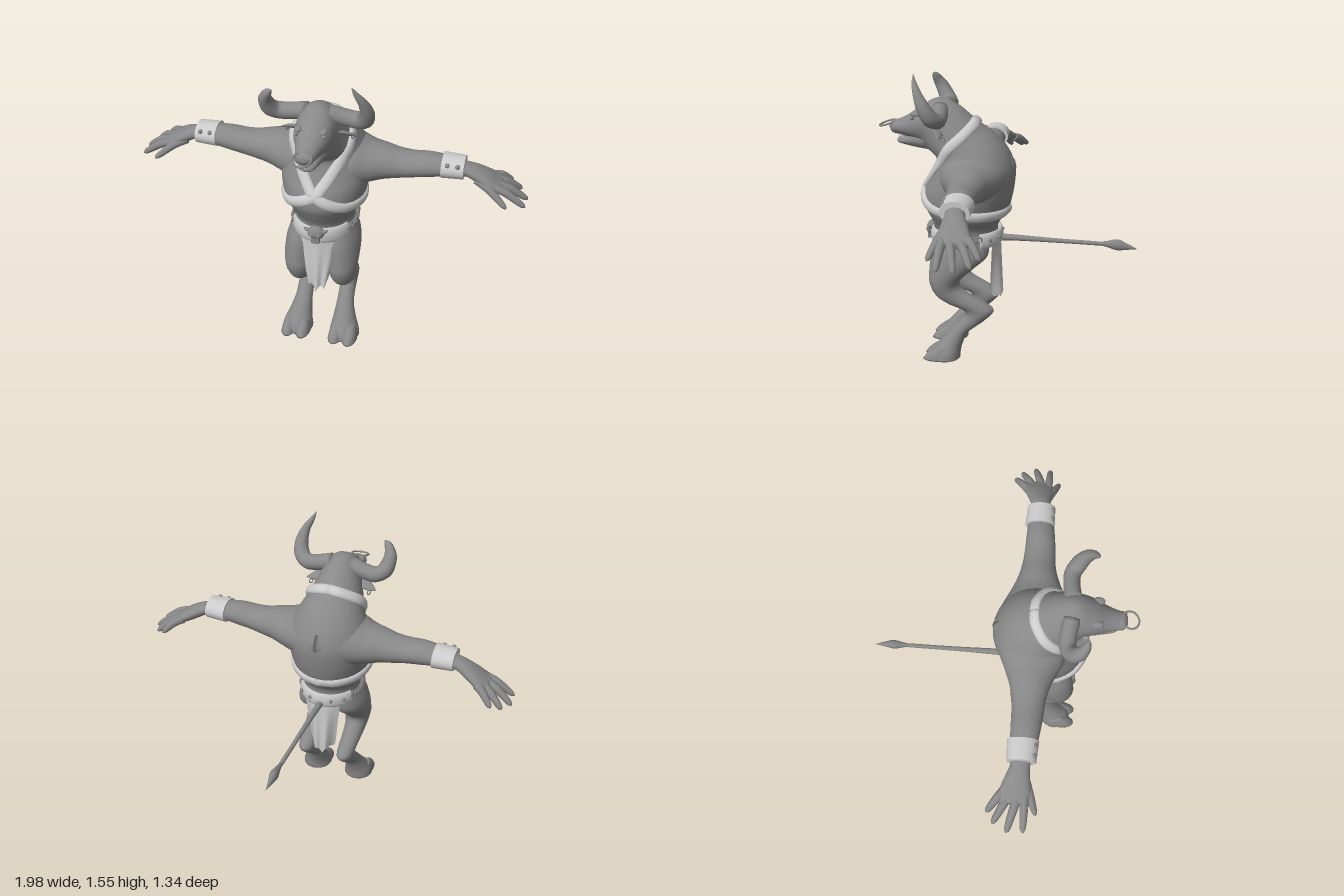
import * as THREE from 'three';

const V3 = (x, y, z) => new THREE.Vector3(x, y, z);
const hide = new THREE.MeshStandardMaterial({ color: 0x888888 });
const leather = new THREE.MeshStandardMaterial({ color: 0xcccccc });
const clothMat = new THREE.MeshStandardMaterial({ color: 0xcccccc, side: THREE.DoubleSide });

// Smooth capped skin through elliptical rings [centre, half axis U, half axis V]
function loft(rings, sides = 24, sub = 5) {
  const curves = [0, 1, 2].map(k => new THREE.CatmullRomCurve3(rings.map(r => r[k]), false, 'catmullrom', 0.5));
  const rows = (rings.length - 1) * sub, pos = [], idx = [];
  for (let i = 0; i <= rows; i++) {
    const [c, u, v] = curves.map(k => k.getPoint(i / rows));
    for (let j = 0; j < sides; j++) {
      const a = j / sides * Math.PI * 2;
      pos.push(...c.clone().addScaledVector(u, Math.cos(a)).addScaledVector(v, Math.sin(a)).toArray());
    }
  }
  const at = (i, j) => i * sides + j % sides, end = pos.length / 3;
  pos.push(...rings[0][0].toArray(), ...rings[rings.length - 1][0].toArray());
  for (let j = 0; j < sides; j++) {
    for (let i = 0; i < rows; i++) {
      idx.push(at(i, j), at(i, j + 1), at(i + 1, j), at(i, j + 1), at(i + 1, j + 1), at(i + 1, j));
    }
    idx.push(end, at(0, j + 1), at(0, j), end + 1, at(rows, j), at(rows, j + 1));
  }
  // Turn the faces outward whatever the direction of the rings
  let vol = 0;
  const p = k => V3(pos[k * 3], pos[k * 3 + 1], pos[k * 3 + 2]);
  for (let t = 0; t < idx.length; t += 3) vol += p(idx[t]).dot(p(idx[t + 1]).cross(p(idx[t + 2])));
  if (vol < 0) idx.reverse();
  const g = new THREE.BufferGeometry();
  g.setAttribute('position', new THREE.Float32BufferAttribute(pos, 3));
  g.setIndex(idx);
  g.computeVertexNormals();
  return g;
}

// Rings given by front and back edges: [x, half width, frontY, frontZ, backY, backZ]
const sagittal = (list, s = 1) => list.map(([x, w, fy, fz, by, bz]) =>
  [V3(x * s, (fy + by) / 2, (fz + bz) / 2), V3(w, 0, 0), V3(0, (fy - by) / 2, (fz - bz) / 2)]);

// Tapered limb through points [x, y, z, radius]
function taper(pts, s = 1, sides = 10) {
  const curve = new THREE.CatmullRomCurve3(pts.map(p => V3(p[0] * s, p[1], p[2])), false, 'catmullrom', 0.5);
  const n = pts.length - 1;
  let side = null;
  return loft(pts.map((p, i) => {
    const t = curve.getTangent(i / n);
    side = side || V3(0.3, 0.2, 1).cross(t);
    side = side.clone().addScaledVector(t, -side.dot(t)).normalize();
    return [curve.getPoint(i / n), side.clone().multiplyScalar(p[3]), t.clone().cross(side).multiplyScalar(p[3])];
  }), sides, 4);
}

// Flat strap through points [position, surface normal]
const ribbon = (pts, half, thick) => loft(pts.map(([c, n], i) => {
  const t = pts[Math.min(i + 1, pts.length - 1)][0].clone().sub(pts[Math.max(i - 1, 0)][0]);
  return [c, t.cross(n).normalize().multiplyScalar(half), n.clone().multiplyScalar(thick)];
}), 12, 4);

export function createModel() {
  const model = new THREE.Group();
  const add = (name, geo, x = 0, y = 0, z = 0, m = hide) => {
    const mesh = new THREE.Mesh(geo, m);
    mesh.name = name;
    mesh.position.set(x, y, z);
    model.add(mesh);
    return mesh;
  };
  const ball = (name, r, x, y, z, sx = 1, sy = 1, sz = 1) =>
    add(name, new THREE.SphereGeometry(r, 14, 10), x, y, z).scale.set(sx, sy, sz);

  // Trunk, neck and skull in one skin
  const body = add('body', loft(sagittal([
    [0, .11, .55, .35, .57, .14], [0, .15, .65, .385, .65, .07], [0, .15, .72, .39, .73, .06],
    [0, .185, .79, .425, .79, .02], [0, .205, .85, .45, .85, -.005], [0, .22, .92, .44, .94, -.025],
    [0, .225, .98, .41, 1.03, -.03], [0, .205, 1.04, .385, 1.12, 0], [0, .17, 1.085, .375, 1.2, .06],
    [0, .142, 1.11, .395, 1.275, .16], [0, .112, 1.13, .425, 1.365, .27], [0, .095, 1.155, .45, 1.395, .36],
    [0, .084, 1.175, .475, 1.355, .445], [0, .062, 1.19, .53, 1.305, .515], [0, .05, 1.2, .57, 1.277, .57],
    [0, .045, 1.208, .6, 1.27, .598], [0, .02, 1.23, .617, 1.255, .614]]), 32));

  // Jaw, teeth, nose ring
  add('lowerJaw', loft(sagittal([[0, .07, 1.125, .42, 1.23, .42], [0, .055, 1.135, .49, 1.215, .49],
    [0, .042, 1.147, .545, 1.19, .54], [0, .03, 1.155, .572, 1.182, .568], [0, .01, 1.163, .582, 1.176, .578]]), 16));
  for (let i = -3; i <= 3; i++) {
    const z = .585 - Math.abs(i) * .014, x = i * .011;
    add('upperTooth', new THREE.ConeGeometry(.006, .02, 6), x, 1.202, z + .004, leather).rotation.x = Math.PI;
    add('lowerTooth', new THREE.ConeGeometry(.006, .02, 6), x, 1.187, z - .014, leather);
  }
  const noseRing = add('noseRing', new THREE.TorusGeometry(.044, .005, 8, 28), 0, 1.255, .628);
  noseRing.rotation.x = Math.PI / 2 + .3;

  // Horns: the left one whole, the right one broken off
  const horn = [[.05, 1.345, .345, .043], [.12, 1.33, .335, .041], [.185, 1.322, .335, .041], [.228, 1.345, .36, .041],
    [.242, 1.4, .39, .034], [.228, 1.465, .42, .022], [.2, 1.515, .44, .012], [.182, 1.553, .447, .001]];
  add('leftHorn', taper(horn, 1, 16));
  add('rightHorn', taper([...horn.slice(0, 5), [.232, 1.435, .41, .026], [.216, 1.46, .42, .018], [.2, 1.475, .425, .003]], -1, 16));

  // Straps laid on the surface of the trunk
  const ray = new THREE.Raycaster();
  const onBody = ([x, y, z]) => {
    const axis = V3(0, y, y > 1.1 ? .28 : .2), dir = V3(x, y, z).sub(axis).normalize();
    ray.set(axis.addScaledVector(dir, 2), dir.clone().negate());
    const hit = ray.intersectObject(body)[0];
    return hit ? [hit.point, hit.face.normal.clone()] : [V3(x, y, z), dir];
  };
  const strapPath = [[0, 1.282, .16], [.06, 1.27, .18], [.12, 1.225, .23], [.15, 1.165, .29], [.13, 1.1, .35],
    [.085, 1.03, .4], [.04, .97, .43], [0, .925, .45], [-.07, .885, .44], [-.14, .85, .38], [-.19, .835, .29],
    [-.2, .828, .2], [-.18, .822, .1], [-.1, .817, .02], [0, .815, -.01]];

  for (const s of [1, -1]) {
    const side = s > 0 ? 'left' : 'right';
    add(side + 'ChestStrap', ribbon(strapPath.map(([x, y, z]) => onBody([x * s, y, z])), .029, .018), 0, 0, 0, leather);

    // Face details
    ball(side + 'Eye', .011, .066 * s, 1.3, .487);
    ball(side + 'Brow', .024, .06 * s, 1.318, .468, .8, .45, 1.3);
    ball(side + 'Nostril', .014, .03 * s, 1.25, .598, 1, .8, .9);
    add(side + 'Ear', loft([[.085, 1.25, .35, .02], [.12, 1.25, .345, .032], [.155, 1.243, .34, .026], [.192, 1.23, .33, .003]]
      .map(([x, y, z, w]) => [V3(x * s, y, z), V3(0, w * .55, w * .8), V3(0, w * .25, -w * .18)]), 12));
    add(side + 'Earring', new THREE.TorusGeometry(.013, .003, 6, 16), .16 * s, 1.222, .315).rotation.y = 1.2;

    // Shoulder, arm and palm: [x, top, bottom, z back, z front]
    const arm = [[0, 1.17, .92, -.035, .33], [.08, 1.16, .9, -.012, .34], [.155, 1.138, .895, .018, .335],
      [.22, 1.115, .908, .047, .305], [.29, 1.105, .928, .073, .275], [.36, 1.09, .942, .088, .258],
      [.43, 1.085, .957, .095, .252], [.5, 1.09, .967, .097, .245], [.57, 1.083, .98, .1, .235], [.64, 1.07, .99, .105, .22],
      [.69, 1.057, .99, .11, .206], [.74, 1.042, .965, .092, .21], [.8, 1.01, .938, .068, .218],
      [.84, .982, .928, .058, .213], [.865, .965, .933, .075, .195]];
    add(side + 'Arm', loft(arm.map(([x, t, b, z0, z1]) =>
      [V3(x * s, (t + b) / 2, (z0 + z1) / 2), V3(0, 0, (z1 - z0) / 2), V3(0, (t - b) / 2, 0)])));

    // Fingers and thumb: base and tip
    [[.82, .96, .19, .985, .872, .195], [.84, .955, .155, .99, .868, .115],
      [.83, .957, .115, .955, .88, .045], [.81, .965, .085, .905, .9, .012],
      [.74, .985, .185, .9, .885, .25]].forEach(([x, y, z, tx, ty, tz], i) => {
      const mix = (k, lift, r) => [x + (tx - x) * k, y + (ty - y) * k + lift, z + (tz - z) * k, r];
      add(side + (i < 4 ? 'Finger' : 'Thumb'), taper([mix(0, 0, .022), mix(.35, .012, .021), mix(.6, .01, .019),
        mix(.9, .002, .014), mix(1, 0, .003)], s, 8));
    });

    // Wrist cuff with two studs in front
    const cuff = add(side + 'Cuff', new THREE.CylinderGeometry(.062, .068, .108, 28), .625 * s, 1.033, .163, leather);
    cuff.rotation.z = -Math.PI / 2 * s;
    cuff.scale.set(.88, 1, 1.14);
    for (const x of [.6, .65]) ball(side + 'CuffStud', .012, x * s, 1.065, .222);

    // Bent hind leg and cloven hoof
    add(side + 'Leg', loft(sagittal([
      [.08, .07, .69, .36, .69, .1], [.1, .086, .6, .395, .59, .1], [.11, .084, .5, .41, .525, .165],
      [.113, .075, .43, .41, .46, .235], [.114, .062, .355, .375, .42, .25], [.114, .054, .31, .31, .38, .215],
      [.113, .048, .28, .235, .325, .12], [.112, .046, .25, .225, .28, .07], [.112, .043, .21, .255, .22, .12],
      [.113, .045, .15, .31, .15, .205], [.12, .06, .085, .365, .08, .238], [.126, .073, .04, .405, .04, .247],
      [.127, .08, .003, .418, .003, .25]], s), 20));
    for (const x of [.089, .166]) {
      add(side + 'HoofToe', loft(sagittal([[x, .022, .075, .365, .06, .3], [x, .033, .035, .42, .035, .3],
        [x, .039, .002, .445, .002, .3]], s), 16));
    }

    // Chain joining the front and back belt plates
    for (let i = 0; i < 8; i++) {
      const a = -.55 + i / 7 * 1.05;
      const link = add(side + 'ChainLink', new THREE.TorusGeometry(.015, .005, 6, 14), .165 * Math.cos(a) * s, .69 - .008 * Math.sin(i / 7 * Math.PI), .225 - .18 * Math.sin(a));
      link.rotation.set(i % 2 ? Math.PI / 2 : 0, Math.PI / 2 - a * s * .5, 0);
      link.scale.set(1.1, .9, 1);
    }
  }

  // Belt plates as arcs around the waist; angle 0 faces the front
  const plate = (name, from, to, y, half) => add(name, ribbon(Array.from({ length: 9 }, (_, i) => {
    const a = from + (to - from) * i / 8;
    return [V3(.158 * Math.sin(a), y, .225 + .178 * Math.cos(a)), V3(Math.sin(a), 0, Math.cos(a))];
  }), half, .014), 0, 0, 0, leather);
  plate('frontBelt', -1.05, 1.05, .673, .046);
  plate('backBelt', Math.PI - 1.05, Math.PI + 1.05, .675, .042);
  for (const a of [-.75, -.35, .35, .75])
    ball('beltStud', .01, .172 * Math.sin(a), .68, .225 - .191 * Math.cos(a));

  // Skull buckle
  ball('buckleSkull', .042, 0, .695, .412, 1.05, .9, .65);
  add('buckleJaw', new THREE.BoxGeometry(.04, .034, .026), 0, .657, .42);
  for (const s of [1, -1]) {
    ball('buckleSocket', .012, .016 * s, .69, .435, 1, 1, .5);
    add('buckleHorn', taper([[.03, .705, .412, .012], [.05, .71, .414, .009], [.062, .722, .416, .001]], s, 8));
  }

  // Hanging cloths, folded and ragged at the hem
  const cloth = (name, top, bottom, topHalf, lowHalf, place) => {
    const g = new THREE.PlaneGeometry(2, 1, 24, 16), p = g.attributes.position;
    for (let i = 0; i < p.count; i++) {
      const u = p.getX(i), k = .5 - p.getY(i);
      const hem = bottom + .035 * Math.abs(Math.sin(u * 4 + .4)) + .05 * u * u;
      p.setXYZ(i, u * (topHalf + (lowHalf - topHalf) * k), top + (hem - top) * k, place(u, k));
    }
    g.computeVertexNormals();
    add(name, g, 0, 0, 0, clothMat);
  };
  cloth('frontCloth', .66, .315, .115, .055, (u, k) => .405 + .012 * k - .04 * u * u * (1 - k * .4) + .007 * k * Math.cos(u * 9));
  cloth('backCloth', .66, .305, .1, .07, (u, k) => .048 - .006 * k + (.03 + .025 * k) * u * u + .012 * k * Math.cos(u * 8));

  // Tail with a pointed tuft
  add('tail', taper([[0, .655, .08, .02], [0, .655, -.05, .016], [0, .65, -.25, .012], [0, .645, -.48, .011]], 1, 12));
  const tuft = add('tailTuft', taper([[0, 0, .01, .01], [0, 0, -.03, .017], [0, -.002, -.085, .031], [0, -.01, -.13, .019], [0, -.02, -.187, .001]], 1, 8), 0, .645, -.478);
  tuft.scale.x = .7;
  return model;
}
